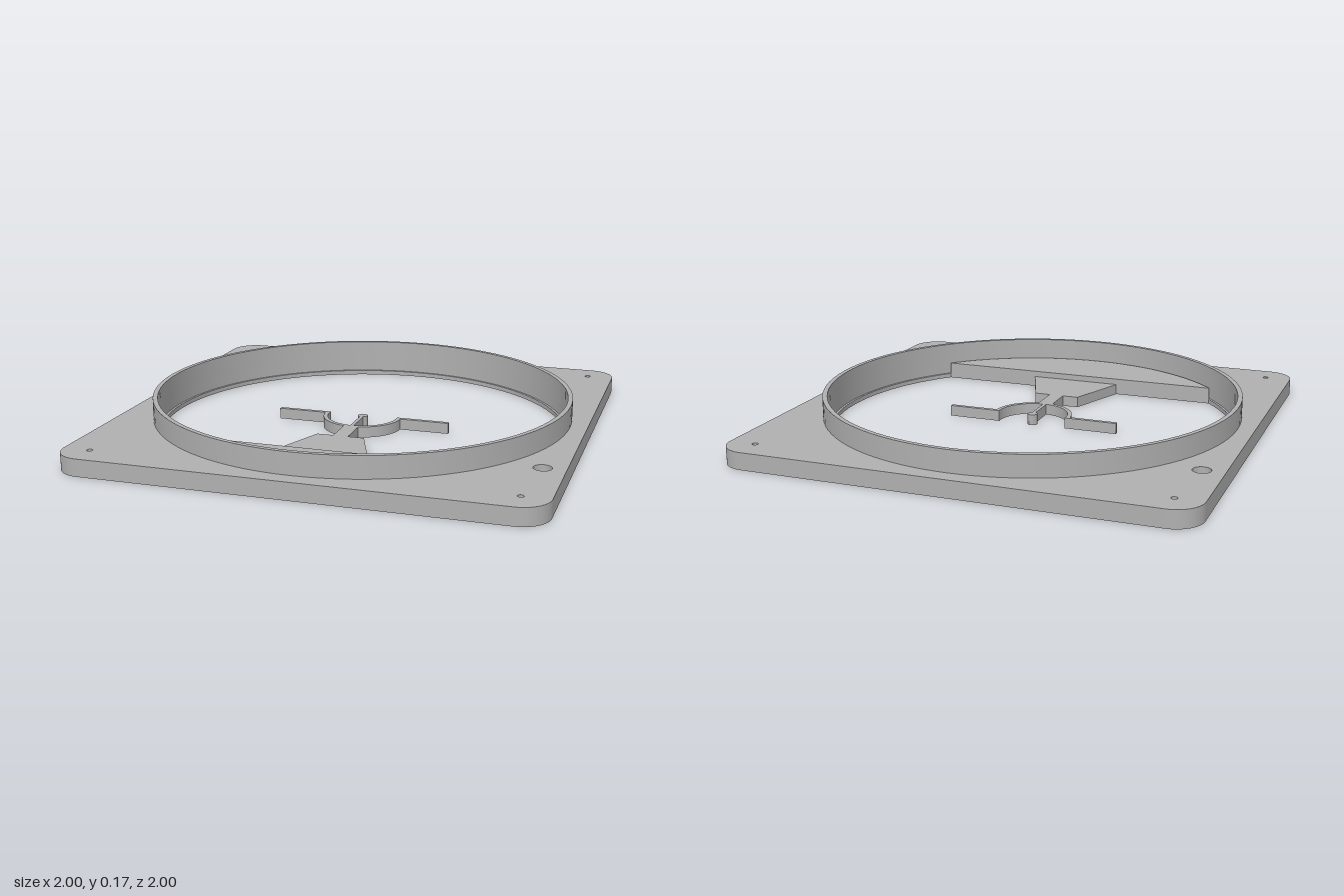
import * as THREE from 'three';
import { toCreasedNormals } from 'three/addons/utils/BufferGeometryUtils.js';

const gray = new THREE.MeshStandardMaterial({ color: 0xb0b0b0 });
gray.name = 'plain gray';

// Plan outline drawn in (x, z), raised from y0 to y1
function slab(name, shape, y0, y1) {
  let geo = new THREE.ExtrudeGeometry(shape, { depth: y1 - y0, bevelEnabled: false, curveSegments: 48 });
  geo.rotateX(Math.PI / 2).translate(0, y1, 0);
  geo = toCreasedNormals(geo, 0.5);
  const mesh = new THREE.Mesh(geo, gray);
  mesh.name = name;
  return mesh;
}

function polygon(points) {
  return new THREE.Shape(points.map(([x, z]) => new THREE.Vector2(x, z)));
}

function circle(Type, x, z, r) {
  return new Type().absarc(x, z, r, 0, Math.PI * 2, false);
}

// Rounded square with the large opening, corner screw holes and two side holes
function plateShape(opening) {
  const r = 0.12, c = 1 - r, q = Math.PI / 2;
  const s = new THREE.Shape();
  s.moveTo(1, -c);
  [[c, c], [-c, c], [-c, -c], [c, -c]].forEach(([x, z], i) => s.absarc(x, z, r, i * q, (i + 1) * q, false));
  s.closePath();
  s.holes.push(circle(THREE.Path, 0, 0, opening));
  for (const x of [-0.882, 0.882]) {
    for (const z of [-0.882, 0.882]) s.holes.push(circle(THREE.Path, x, z, 0.013));
  }
  s.holes.push(circle(THREE.Path, -0.905, -0.55, 0.038), circle(THREE.Path, 0.905, 0.547, 0.038));
  return s;
}

export function createModel() {
  const group = new THREE.Group();
  group.name = 'ringFrame';
  const plateTop = 0.075, ringTop = 0.17, armTop = 0.048, lip = 0.02;
  const inner = 0.895, ringInner = 0.906, ringOuter = 0.927;

  // Base plate with a narrow lip at the bottom of its opening
  group.add(slab('basePlateLip', plateShape(inner), 0, lip));
  group.add(slab('basePlate', plateShape(ringInner), lip, plateTop));

  // Raised circular collar
  const ring = circle(THREE.Shape, 0, 0, ringOuter);
  ring.holes.push(circle(THREE.Path, 0, 0, ringInner));
  group.add(slab('collar', ring, plateTop, ringTop));

  // Filled segment at the front of the opening
  const chord = 0.595, a = Math.asin(chord / inner);
  const segment = new THREE.Shape().absarc(0, 0, inner, a, Math.PI - a, false);
  segment.closePath();
  group.add(slab('frontSegment', segment, 0, plateTop));

  // Tapered foot and stem carrying the yoke
  group.add(slab('footAndStem', polygon([
    [-0.21, chord], [-0.105, 0.317], [-0.033, 0.317], [-0.033, 0.165],
    [0.033, 0.165], [0.033, 0.317], [0.105, 0.317], [0.21, chord],
  ]), 0, armTop));

  // Half-round yoke with two straight arms
  const rIn = 0.157, rOut = 0.176, zBack = -0.013, zFront = 0.006;
  const b = Math.asin(zFront / rOut);
  const yoke = new THREE.Shape();
  yoke.moveTo(-0.395, zBack);
  yoke.lineTo(-rIn, zBack);
  yoke.absarc(0, 0, rIn, Math.PI, 0, true);
  yoke.lineTo(rIn, zBack);
  yoke.lineTo(0.395, zBack);
  yoke.lineTo(0.395, zFront);
  yoke.absarc(0, 0, rOut, b, Math.PI - b, false);
  yoke.lineTo(-0.395, zFront);
  yoke.closePath();
  group.add(slab('yoke', yoke, 0, armTop));

  // Centre pin with a round tip
  group.add(slab('pinBar', polygon([[-0.008, 0.015], [0.008, 0.015], [0.008, 0.162], [-0.008, 0.162]]), 0, armTop));
  group.add(slab('pinTip', circle(THREE.Shape, 0, 0, 0.022), 0, armTop));

  return group;
}
